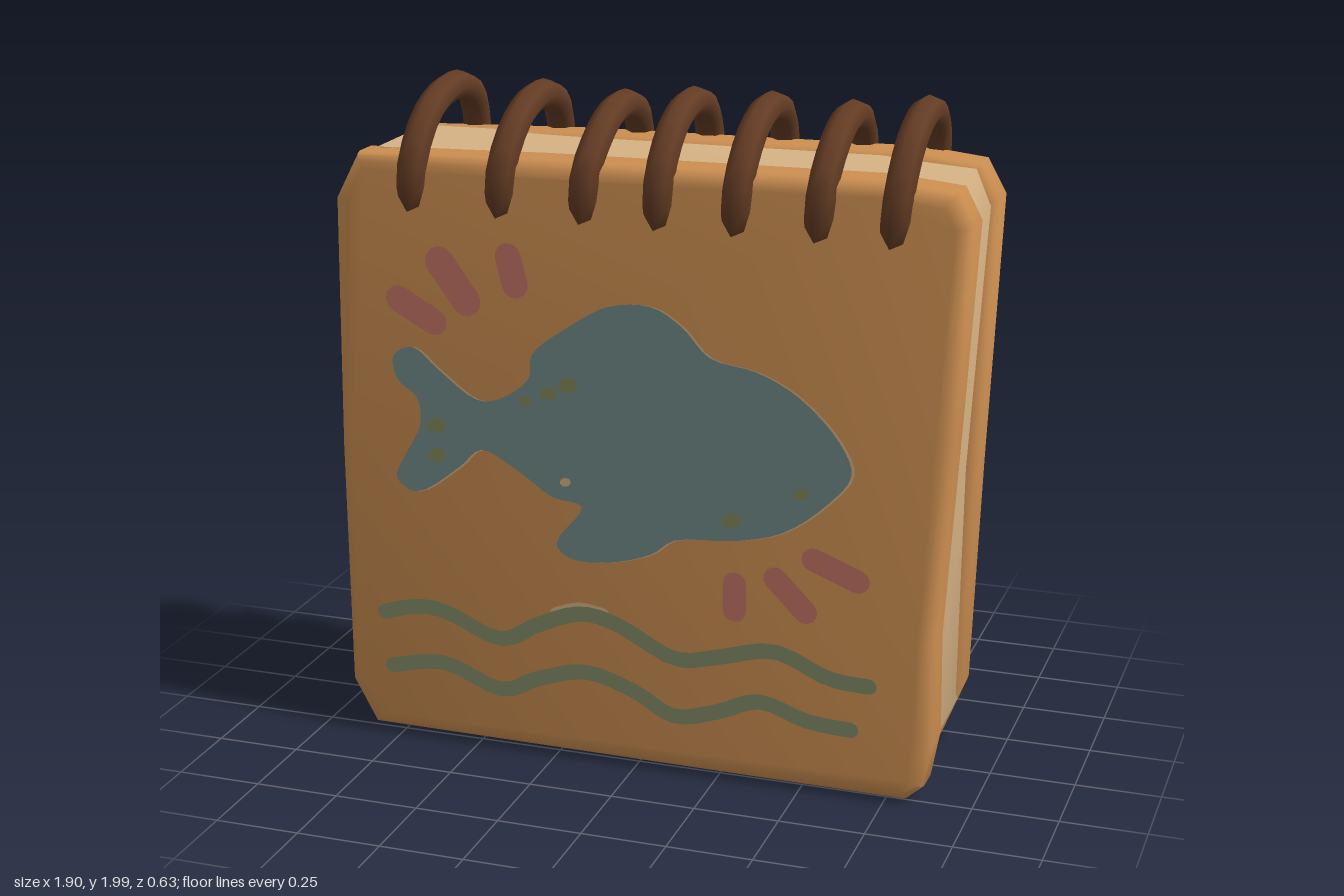
import * as THREE from 'three';
import { toCreasedNormals } from 'three/addons/utils/BufferGeometryUtils.js';

const mat = (name, color, side = THREE.FrontSide) => {
  const m = new THREE.MeshStandardMaterial({ color, side });
  m.name = name;
  return m;
};
const M = {
  leather: mat('tan leather', 0xcd8f51),
  paper: mat('cream paper', 0xd6b284),
  cord: mat('brown cord', 0x643c24),
  fish: mat('blue grey paint', 0x708a89),
  wave: mat('green paint', 0x838b67),
  pink: mat('pink paint', 0xc67466),
  olive: mat('olive paint', 0x85875a),
};

const V2 = (p) => new THREE.Vector2(p[0], p[1]);

function add(parent, name, geometry, material) {
  const mesh = new THREE.Mesh(geometry, material);
  mesh.name = name;
  parent.add(mesh);
  return mesh;
}

// Outline of a brush stroke of even width with round ends
function strokeShape(points, width) {
  const curve = new THREE.SplineCurve(points.map(V2));
  const n = points.length > 2 ? 40 : 2;
  const left = [], right = [], h = width / 2;
  const caps = [[], []];
  for (let i = 0; i <= n; i++) {
    const p = curve.getPoint(i / n), t = curve.getTangent(i / n);
    left.push(new THREE.Vector2(p.x - t.y * h, p.y + t.x * h));
    right.push(new THREE.Vector2(p.x + t.y * h, p.y - t.x * h));
    if (i === 0 || i === n) {
      const a0 = Math.atan2(t.y, t.x) + (i ? -Math.PI / 2 : Math.PI / 2);
      for (let k = 1; k < 6; k++) {
        const a = a0 + (k * Math.PI) / 6;
        caps[i ? 1 : 0].push(new THREE.Vector2(p.x + Math.cos(a) * h, p.y + Math.sin(a) * h));
      }
    }
  }
  return new THREE.Shape([...right, ...caps[1], ...left.reverse(), ...caps[0]]);
}

const FISH = [
  [-0.74, 1.2], [-0.68, 1.23], [-0.6, 1.17], [-0.48, 1.09], [-0.41, 1.1], [-0.32, 1.17], [-0.31, 1.24],
  [-0.2, 1.33], [-0.08, 1.4], [0.05, 1.41], [0.14, 1.36], [0.22, 1.28], [0.36, 1.25], [0.48, 1.19],
  [0.6, 1.07], [0.635, 0.98], [0.57, 0.89], [0.44, 0.79], [0.3, 0.75], [0.12, 0.73], [0.05, 0.68],
  [-0.08, 0.64], [-0.2, 0.64], [-0.24, 0.68], [-0.16, 0.8], [-0.25, 0.82], [-0.36, 0.89], [-0.47, 0.94],
  [-0.54, 0.88], [-0.68, 0.79], [-0.74, 0.83], [-0.71, 0.9], [-0.66, 1.0], [-0.67, 1.08], [-0.73, 1.13],
];
const WAVES = [
  [[-0.79, 0.4], [-0.68, 0.43], [-0.58, 0.42], [-0.42, 0.36], [-0.3, 0.42], [-0.17, 0.47], [-0.05, 0.45],
    [0.12, 0.37], [0.25, 0.39], [0.42, 0.43], [0.58, 0.37], [0.7, 0.36]],
  [[-0.77, 0.23], [-0.6, 0.26], [-0.42, 0.2], [-0.3, 0.25], [-0.15, 0.29], [0, 0.25],
    [0.12, 0.19], [0.25, 0.22], [0.38, 0.27], [0.52, 0.23], [0.65, 0.22]],
];
// Pink dashes: start, end, width
const DASHES = [
  [[-0.72, 1.37], [-0.61, 1.31], 0.08], [[-0.59, 1.49], [-0.51, 1.38], 0.09], [[-0.38, 1.52], [-0.36, 1.44], 0.08],
  [[0.3, 0.62], [0.3, 0.54], 0.07], [[0.42, 0.65], [0.51, 0.56], 0.07], [[0.53, 0.72], [0.66, 0.67], 0.07],
];
const SPOTS = [[-0.2, 1.16, 0.03], [-0.26, 1.13, 0.025], [-0.33, 1.1, 0.02], [-0.61, 1.0, 0.03], [-0.61, 0.91, 0.028]];
const HEAD_SPOTS = [[0.29, 0.81, 0.03], [0.49, 0.91, 0.022]];

const FACE_Z = 0.292;

// Painted picture on the outer face of a cover
function painting(headSpotMaterial) {
  const g = new THREE.Group();
  g.name = 'painting';
  const paint = (name, shape, material, layer) => {
    const m = add(g, name, new THREE.ShapeGeometry(shape, 8), material);
    m.position.z = FACE_Z + 0.002 * layer;
    return m;
  };
  const spline = new THREE.Shape(new THREE.CatmullRomCurve3(
    FISH.map(([x, y]) => new THREE.Vector3(x, y, 0)), true, 'centripetal').getPoints(140).slice(0, -1)
    .map((p) => new THREE.Vector2(p.x, p.y)));
  paint('fishRim', spline, M.paper, 1).position.x = 0.008;
  paint('fish', spline, M.fish, 2);
  const dot = ([x, y, r]) => new THREE.Shape().absellipse(x, y, r, r * 0.75, 0, Math.PI * 2, false, 0.3);
  SPOTS.forEach((s) => paint('fishSpot', dot(s), M.olive, 3));
  HEAD_SPOTS.forEach((s) => paint('headSpot', dot(s), headSpotMaterial, 3));
  paint('bellySpot', dot([-0.21, 0.87, 0.017]), M.paper, 3);
  WAVES.forEach((w) => paint('wave', strokeShape(w, 0.047), M.wave, 2));
  paint('waveRim', strokeShape([[-0.24, 0.46], [-0.17, 0.482], [-0.1, 0.475]], 0.045), M.paper, 1);
  DASHES.forEach(([a, b, w]) => paint('dash', strokeShape([a, b], w), M.pink, 1));
  return g;
}

// Padded leather cover with rounded rim, leaning slightly inward at the top
function cover(name, outline, headSpotMaterial) {
  const g = new THREE.Group();
  g.name = name;
  const geo = new THREE.ExtrudeGeometry(new THREE.Shape(outline.map(V2)), {
    depth: 0.08, bevelThickness: 0.042, bevelSize: 0.045, bevelOffset: -0.045, bevelSegments: 3,
  });
  geo.translate(0, 0, FACE_Z - 0.122);
  add(g, 'coverPad', toCreasedNormals(geo, 0.75), M.leather);
  g.add(painting(headSpotMaterial));
  g.rotation.order = 'YXZ';
  g.rotation.x = -0.011;
  return g;
}

// Cord loop over the top edge, leaning a little sideways
function ring(x, top, lean) {
  const pts = [
    [0.2, 1.62], [0.26, 1.68], [0.272, 1.77], [0.2, 1.89], [0.1, 1.94], [0, 1.955],
    [-0.1, 1.94], [-0.2, 1.89], [-0.268, 1.76], [-0.26, 1.68], [-0.2, 1.62],
  ].map(([z, y]) => new THREE.Vector3(
    x + (lean * (y - 1.64)) / 0.32 + z * 0.04,
    y > 1.8 ? y + top - 2 : y,
    z));
  const geo = new THREE.TubeGeometry(new THREE.CatmullRomCurve3(pts), 18, 0.043, 7);
  return new THREE.Mesh(geo, M.cord);
}

export function createModel() {
  const model = new THREE.Group();
  model.name = 'notebook';

  // Covers
  model.add(cover('frontCover', [
    [-0.84, 0.025], [0.81, 0.015], [0.86, 0.06], [0.885, 0.2], [0.88, 0.5], [0.915, 1.1], [0.948, 1.7],
    [0.9, 1.79], [0.7, 1.81], [-0.3, 1.8], [-0.85, 1.785], [-0.92, 1.65], [-0.925, 0.9], [-0.915, 0.16],
  ], M.olive));
  const back = cover('backCover', [
    [-0.8, 0.01], [0.86, 0.025], [0.95, 0.2], [0.938, 0.9], [0.95, 1.66], [0.86, 1.78],
    [0.3, 1.8], [-0.7, 1.81], [-0.88, 1.79], [-0.935, 1.69], [-0.9, 0.9], [-0.875, 0.2],
  ], M.paper);
  back.rotation.y = Math.PI;
  model.add(back);

  // Page block between the covers
  const pages = new THREE.ExtrudeGeometry(new THREE.Shape([
    [-0.83, 0.035], [0.8, 0.025], [0.86, 0.16], [0.87, 0.9], [0.915, 1.68], [0.87, 1.78],
    [0.6, 1.8], [-0.82, 1.79], [-0.9, 1.66], [-0.9, 0.17],
  ].map(V2)), { depth: 0.34, bevelEnabled: false });
  pages.translate(0, 0, -0.17);
  add(model, 'pages', toCreasedNormals(pages, 0.6), M.paper);

  // Row of binding loops: x, top height, sideways lean
  [[-0.69, 1.99, 0.03], [-0.42, 1.98, 0.03], [-0.17, 1.965, 0.03], [0.05, 1.985, 0.02],
    [0.275, 1.985, 0.025], [0.51, 1.975, 0.025], [0.72, 2.0, 0.03]].forEach(([x, top, lean], i) => {
    const r = ring(x, top, lean);
    r.name = 'bindingRing' + (i + 1);
    model.add(r);
  });
  return model;
}
